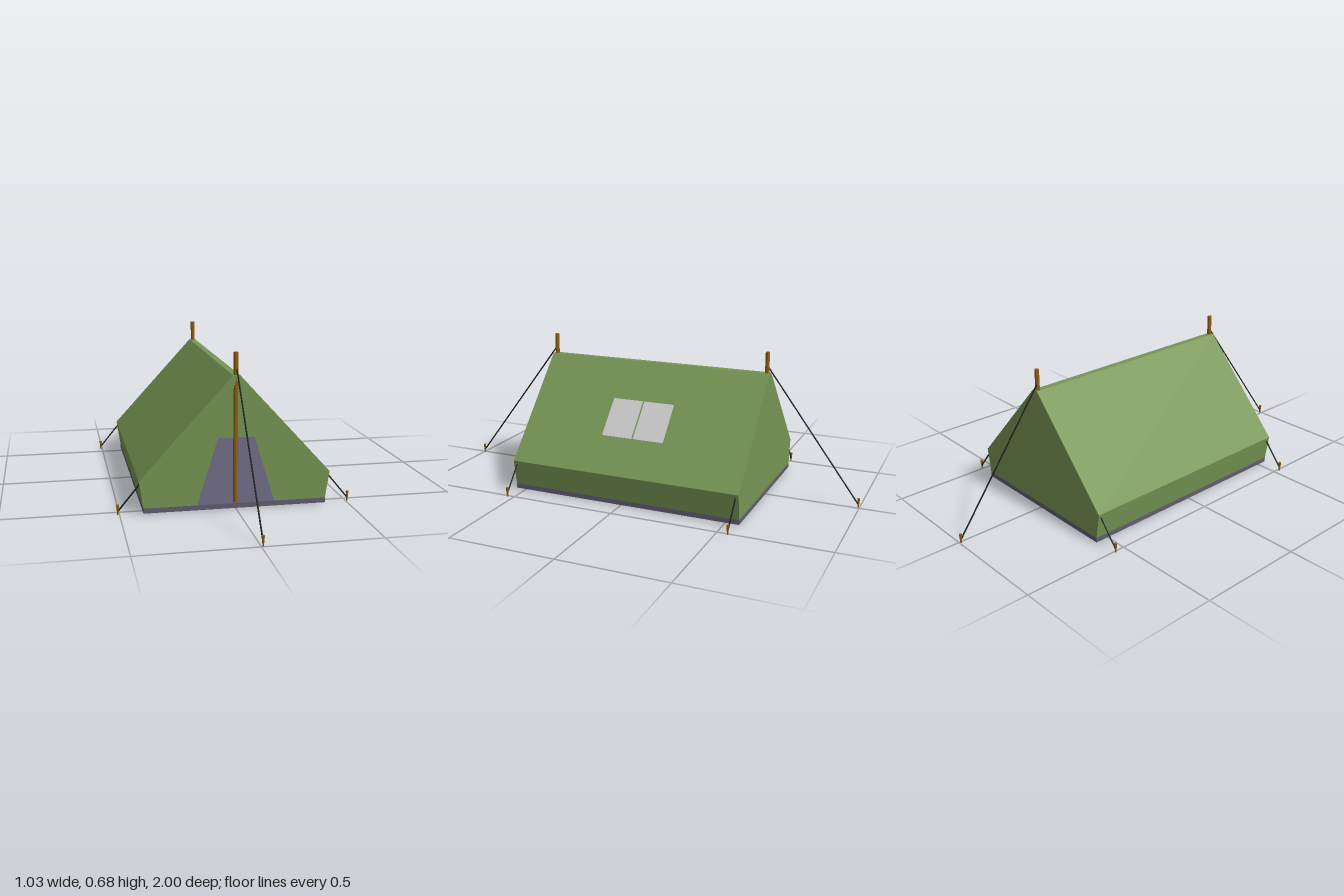
import * as THREE from 'three';

const mat = (color) => new THREE.MeshStandardMaterial({ color, side: THREE.DoubleSide, flatShading: true });
const canvas = mat(0x779553);
const floorCloth = mat(0x615c73);
const wood = mat(0x8f5f14);
const cord = mat(0x1a1f1c);
const paneGrey = mat(0xcccccc);

const FRONT = 0.547, BACK = -0.565;
// half cross-section of the canvas, from floor to ridge
const half = [[0.4, 0.025], [0.418, 0.145], [0.015, 0.584]];
const profile = [...half, ...half.map(([x, y]) => [-x, y]).reverse()];

function add(parent, name, geometry, material) {
  const mesh = new THREE.Mesh(geometry, material);
  mesh.name = name;
  parent.add(mesh);
  return mesh;
}

// straight round bar between two points
function bar(parent, name, a, b, rTop, rBottom, sides, material) {
  const from = new THREE.Vector3(...a), to = new THREE.Vector3(...b);
  const dir = to.clone().sub(from);
  const mesh = add(parent, name, new THREE.CylinderGeometry(rTop, rBottom, dir.length(), sides), material);
  mesh.position.copy(from).add(to).multiplyScalar(0.5);
  mesh.quaternion.setFromUnitVectors(new THREE.Vector3(0, 1, 0), dir.normalize());
  return mesh;
}

// roof and side walls swept from back to front
function sweepGeometry() {
  const pos = [];
  for (let i = 0; i < profile.length - 1; i++) {
    const [ax, ay] = profile[i], [bx, by] = profile[i + 1];
    pos.push(ax, ay, FRONT, ax, ay, BACK, bx, by, BACK);
    pos.push(ax, ay, FRONT, bx, by, BACK, bx, by, FRONT);
  }
  const g = new THREE.BufferGeometry();
  g.setAttribute('position', new THREE.Float32BufferAttribute(pos, 3));
  g.computeVertexNormals();
  return g;
}

const outline = (pts) => new THREE.ShapeGeometry(new THREE.Shape(pts.map(([x, y]) => new THREE.Vector2(x, y))));

// guy line with its peg
function guyLine(parent, name, top, foot) {
  const g = new THREE.Group();
  g.name = name;
  bar(g, 'rope', [foot[0], 0.015, foot[1]], top, 0.0035, 0.0035, 6, cord);
  bar(g, 'peg', [foot[0], 0, foot[1]], [foot[0], 0.044, foot[1]], 0.0065, 0.003, 8, wood);
  parent.add(g);
}

export function createModel() {
  const tent = new THREE.Group();
  tent.name = 'tent';

  // canvas
  add(tent, 'roofAndSides', sweepGeometry(), canvas);
  const door = [[-0.17, 0.025], [0, 0.57], [0.17, 0.025]];
  add(tent, 'frontWall', outline([...profile, ...door]), canvas).position.z = FRONT;
  const backWall = add(tent, 'backWall', outline(profile), canvas);
  backWall.position.z = BACK;
  backWall.scale.x = -1;
  backWall.rotation.y = Math.PI;

  // groundsheet, canvas underneath
  const sheet = add(tent, 'groundsheet', new THREE.BoxGeometry(0.8, 0.022, FRONT - BACK),
    [floorCloth, floorCloth, floorCloth, canvas, floorCloth, floorCloth]);
  sheet.position.set(0, 0.014, (FRONT + BACK) / 2);

  // two window panes lying on the left roof slope
  const [, [ex, ey], [rx, ry]] = half;
  const slope = Math.atan2(ry - ey, ex - rx);
  const cy = 0.357, cx = rx + (ry - cy) * (ex - rx) / (ry - ey);
  const window = new THREE.Group();
  window.name = 'window';
  window.position.set(cx, cy, -0.009);
  window.rotation.z = -slope;
  for (const s of [1, -1]) {
    const pane = add(window, 'windowPane', new THREE.BoxGeometry(0.196, 0.004, 0.148), paneGrey);
    pane.position.z = s * 0.078;
  }
  tent.add(window);

  // poles and guy lines at both ends
  for (const [end, s, z] of [['front', 1, 0.532], ['back', -1, -0.55]]) {
    bar(tent, end + 'Pole', [0, 0.003, z], [0, 0.68, z], 0.01, 0.01, 10, wood);
    guyLine(tent, end + 'GuyLine', [s * 0.003, 0.617, z], [s * 0.008, s * 0.994]);
    for (const side of [1, -1]) {
      guyLine(tent, end + (side > 0 ? 'Left' : 'Right') + 'GuyLine', [side * 0.414, 0.128, z], [side * 0.507, z]);
    }
  }
  return tent;
}
